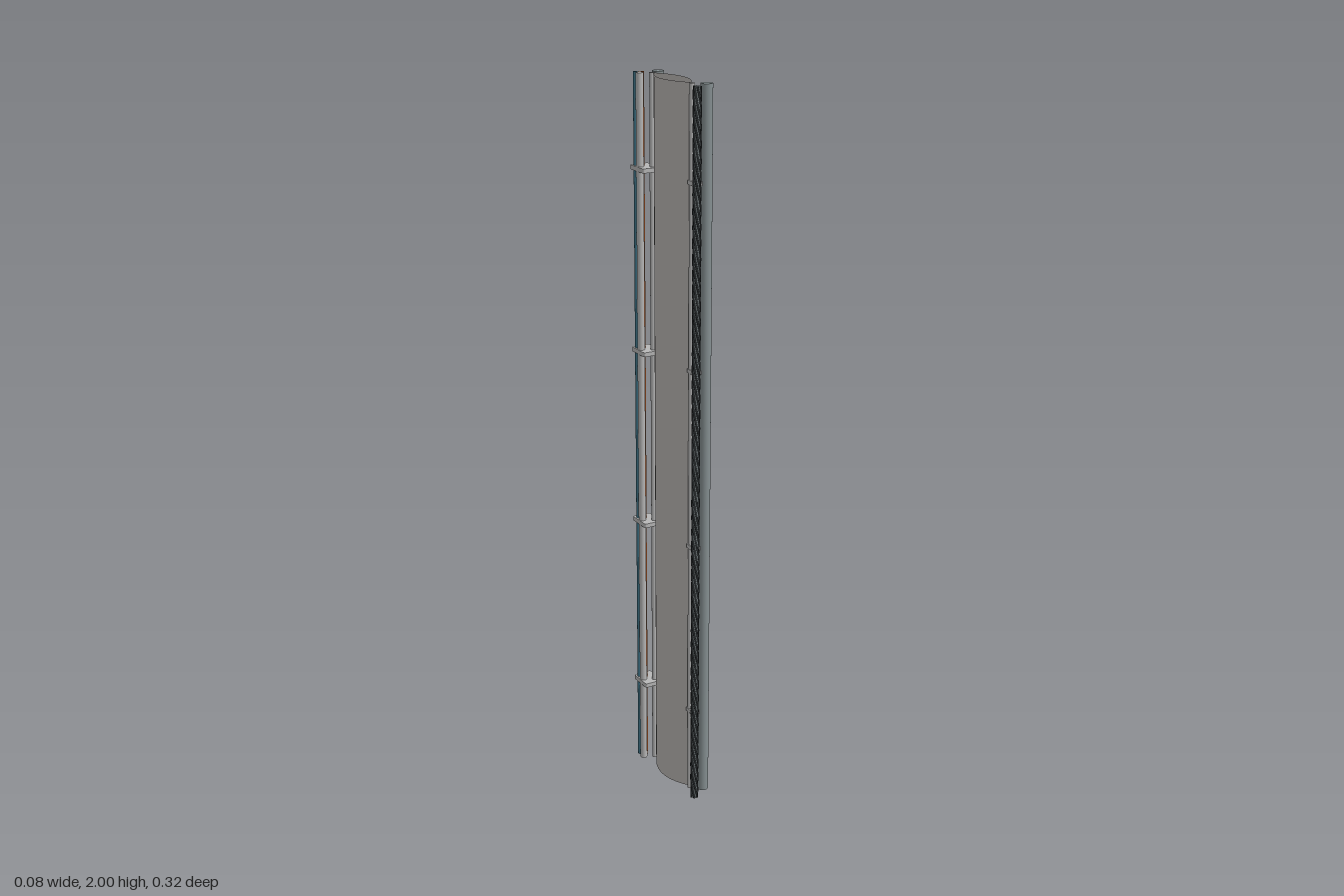
import * as THREE from 'three';

const H = 2;
const mat = (name, color, side = THREE.FrontSide) => {
  const m = new THREE.MeshStandardMaterial({ color, side });
  m.name = name;
  return m;
};

// Rounded rectangular plate lying flat, spanning x0..x1 and z0..z1
function plate(x0, x1, z0, z1, thick, r) {
  const s = new THREE.Shape();
  const a = -z1, b = -z0;
  s.moveTo(x0 + r, a);
  s.lineTo(x1 - r, a);
  s.quadraticCurveTo(x1, a, x1, a + r);
  s.lineTo(x1, b - r);
  s.quadraticCurveTo(x1, b, x1 - r, b);
  s.lineTo(x0 + r, b);
  s.quadraticCurveTo(x0, b, x0, b - r);
  s.lineTo(x0, a + r);
  s.quadraticCurveTo(x0, a, x0 + r, a);
  const g = new THREE.ExtrudeGeometry(s, { depth: thick, bevelEnabled: false, curveSegments: 4 });
  g.rotateX(-Math.PI / 2);
  g.translate(0, -thick / 2, 0);
  return g;
}

// Hollow lens-shaped skin, open at both ends
function lensSkin(zMin, zMax, xMid, bulge, segs) {
  const ring = [];
  for (let side = 1; side >= -1; side -= 2) {
    for (let i = 0; i < segs; i++) {
      const u = side * (1 - (2 * i) / segs);
      const z = (zMin + zMax) / 2 + (u * (zMax - zMin)) / 2;
      ring.push([xMid + side * bulge * (1 - u * u), z]);
    }
  }
  const pos = [];
  ring.forEach(([x, z], i) => {
    const [x2, z2] = ring[(i + 1) % ring.length];
    pos.push(x, 0, z, x2, 0, z2, x2, H, z2, x, 0, z, x2, H, z2, x, H, z);
  });
  const g = new THREE.BufferGeometry();
  g.setAttribute('position', new THREE.Float32BufferAttribute(pos, 3));
  g.computeVertexNormals();
  return g;
}

class Helix extends THREE.Curve {
  constructor(radius, turns, phase) {
    super();
    Object.assign(this, { radius, turns, phase });
  }
  getPoint(t, target = new THREE.Vector3()) {
    const a = this.phase + t * this.turns * Math.PI * 2;
    return target.set(this.radius * Math.cos(a), t * H, this.radius * Math.sin(a));
  }
}

export function createModel() {
  const model = new THREE.Group();
  model.name = 'verticalServiceRiser';
  const skin = mat('skin grey', 0xbab7b4, THREE.DoubleSide);
  const light = mat('light grey', 0xb8b8b8);
  const steel = mat('steel grey', 0x869092);
  const black = mat('cable black', 0x2c3032);
  const orange = mat('cable orange', 0xb05a28);
  const blue = mat('cable blue', 0x3f7488);

  const add = (name, geo, material, x = 0, y = 0, z = 0, parent = model) => {
    const m = new THREE.Mesh(geo, material);
    m.name = name;
    m.position.set(x, y, z);
    parent.add(m);
    return m;
  };
  const pipe = (name, x, z, r, material) =>
    add(name, new THREE.CylinderGeometry(r, r, H, 24), material, x, H / 2, z);

  // Central hollow skin
  add('lensSkin', lensSkin(-0.101, 0.086, -0.002, 0.033, 16), skin);

  // Main pipes and edge conduits
  pipe('frontPipe', 0.026, 0.114, 0.016, steel);
  pipe('backPipe', 0.026, -0.129, 0.016, steel);
  pipe('frontConduit', -0.004, 0.093, 0.007, light);
  pipe('backConduit', -0.004, -0.108, 0.007, light);

  // Back service lines
  pipe('greyLine', -0.032, -0.124, 0.01, light);
  pipe('orangeCable', -0.02, -0.137, 0.008, orange);
  pipe('blueCable', -0.032, -0.146, 0.006, blue);

  // Brackets at four heights
  const frontPlate = plate(-0.012, 0.024, 0.083, 0.12, 0.01, 0.004);
  const backPlate = plate(-0.012, 0.024, -0.135, -0.098, 0.01, 0.004);
  const clampPlate = plate(-0.042, 0.011, -0.16, -0.09, 0.012, 0.006);
  for (let i = 0; i < 4; i++) {
    const bracket = new THREE.Group();
    bracket.name = 'bracket';
    bracket.position.y = 0.25 + i * 0.5;
    model.add(bracket);
    add('frontPlate', frontPlate, light, 0, 0, 0, bracket);
    add('backPlate', backPlate, light, 0, 0, 0, bracket);
    add('clampPlate', clampPlate, light, 0, 0, 0, bracket);
  }

  // Twisted cable standing free at the front
  const cable = new THREE.Group();
  cable.name = 'twistedCable';
  cable.position.set(-0.02, 0, 0.145);
  model.add(cable);
  add('cableCore', new THREE.CylinderGeometry(0.0088, 0.0088, H, 16), steel, 0, H / 2, 0, cable);
  for (let i = 0; i < 6; i++) {
    const path = new Helix(0.0088, 8, (i * Math.PI) / 3);
    add('strand', new THREE.TubeGeometry(path, 200, 0.003, 6), black, 0, 0, 0, cable);
  }
  return model;
}
